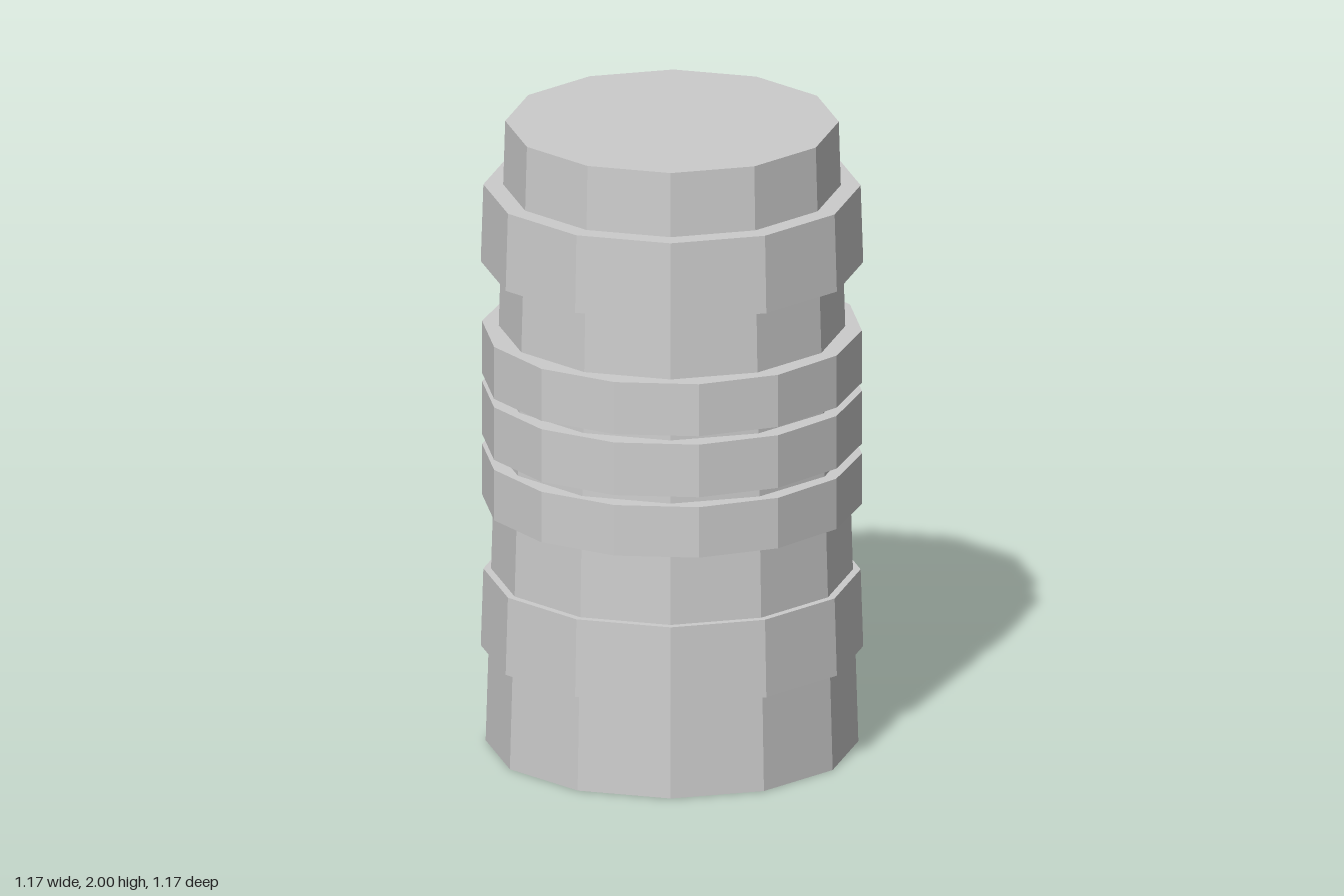
import * as THREE from 'three';

export function createModel() {
  const group = new THREE.Group();
  const grey = new THREE.MeshStandardMaterial({ color: 0xcccccc, flatShading: true });
  grey.name = 'light grey';

  // Faceted drum between two heights, with a corner on the x axis
  function drum(name, y0, y1, rBottom, rTop, sides) {
    const geometry = new THREE.CylinderGeometry(rTop, rBottom, y1 - y0, sides);
    geometry.rotateY(Math.PI / 2);
    const mesh = new THREE.Mesh(geometry, grey);
    mesh.name = name;
    mesh.position.y = (y0 + y1) / 2;
    group.add(mesh);
  }

  // Tapered core
  drum('body', 0, 2, 0.572, 0.512, 12);

  // Wide tapered collars
  drum('lowerCollar', 0.307, 0.555, 0.587, 0.579, 12);
  drum('upperCollar', 1.547, 1.795, 0.587, 0.579, 12);

  // Three narrow grip rings around the middle
  [[0.78, 0.943], [0.975, 1.145], [1.172, 1.34]].forEach(([y0, y1], i) =>
    drum(`gripRing${i + 1}`, y0, y1, 0.585, 0.585, 14));

  return group;
}
